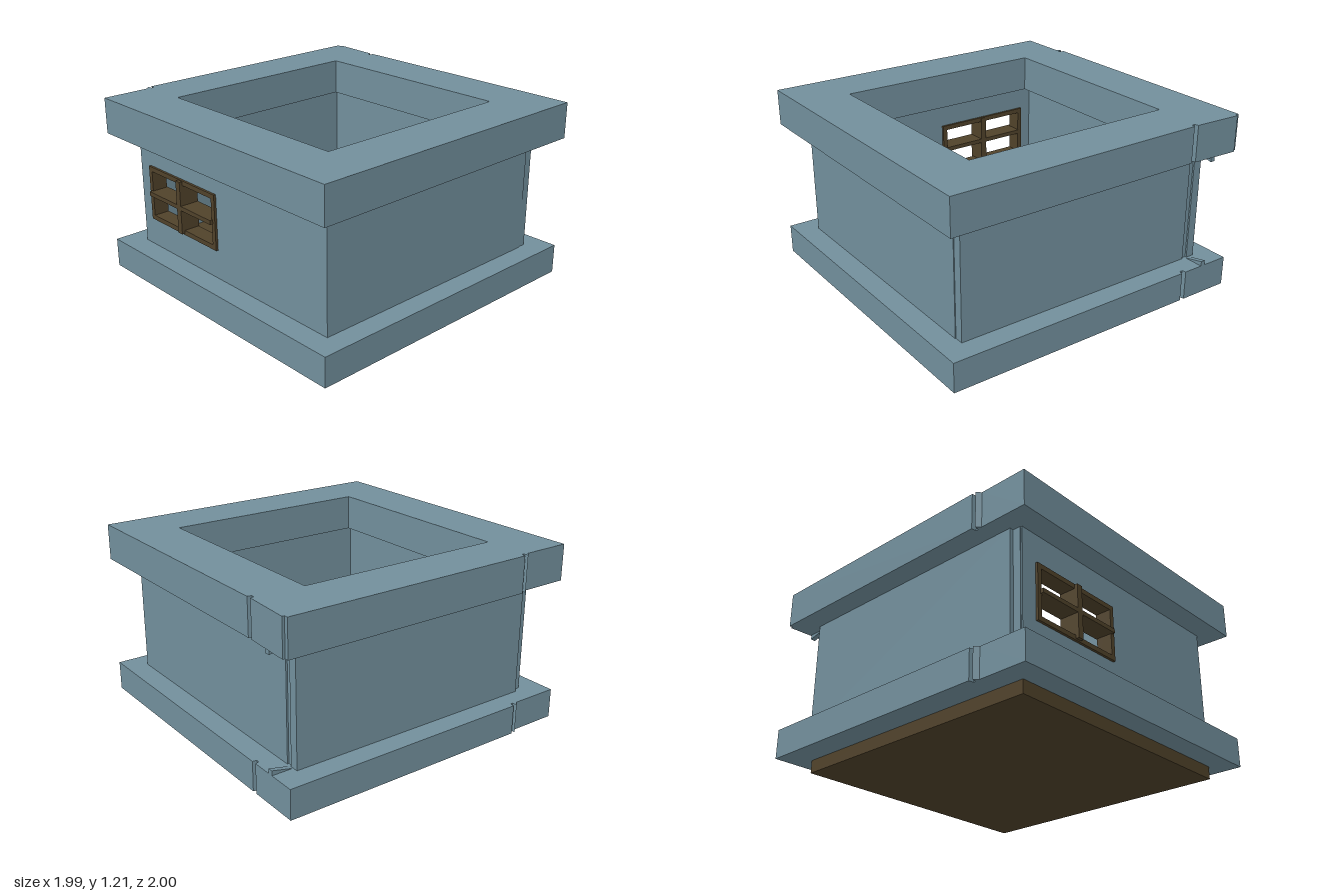
import * as THREE from 'three';

const mat = (color) => new THREE.MeshStandardMaterial({ color, flatShading: true, side: THREE.DoubleSide });

export function createModel() {
  const model = new THREE.Group();
  const blue = mat(0x728f9c), brown = mat(0x50422a), gold = mat(0x57431a);
  const yellow = mat(0xb5a95f), grey = mat(0xcccccc);

  const add = (name, geometry, material, parent = model) => {
    const mesh = new THREE.Mesh(geometry, material);
    mesh.name = name;
    parent.add(mesh);
    return mesh;
  };
  // Box given by its limits on each axis
  const box = (name, material, x0, x1, y0, y1, z0, z1, parent = model) => {
    const mesh = add(name, new THREE.BoxGeometry(x1 - x0, y1 - y0, z1 - z0), material, parent);
    mesh.position.set((x0 + x1) / 2, (y0 + y1) / 2, (z0 + z1) / 2);
    return mesh;
  };
  const points = (list) => list.map(([x, z]) => new THREE.Vector2(x, -z));
  // Plan shape raised from y0 to y1
  const slab = (name, material, shape, y0, y1) => {
    const geo = new THREE.ExtrudeGeometry(shape, { depth: y1 - y0, bevelEnabled: false, curveSegments: 16 });
    geo.rotateX(-Math.PI / 2);
    geo.translate(0, y0, 0);
    return add(name, geo, material);
  };

  // Foundation and floor
  box('foundation', brown, -0.86, 0.84, 0, 0.25, -0.835, 0.865);
  box('floor', brown, -0.8, 0.8, 0.2, 0.27, -0.82, 0.8);

  // Heavy square rims with narrow joints near the back corners
  const rim = (name, y0, y1, flare) => {
    const shape = new THREE.Shape(points([
      [-1, 1], [0.975, 1], [0.975, -0.64], [0.95, -0.645], [0.95, -0.665], [0.975, -0.67],
      [0.975 + flare, -0.975], [0.975, -0.975], [0.975, -1], [-0.645, -1], [-0.65, -0.97], [-0.665, -0.97],
      [-0.67, -1], [-0.695, -0.975], [-1, -0.975],
    ]));
    shape.holes.push(new THREE.Path(points([[-0.67, 0.67], [-0.67, -0.68], [0.65, -0.68], [0.65, 0.67]])));
    slab(name, blue, shape, y0, y1);
  };
  rim('lowerRim', 0.08, 0.265, 0);
  rim('upperRim', 0.98, 1.205, 0.015);

  // Walls
  box('frontWall', blue, -0.86, 0.785, 0.265, 0.98, 0.8, 0.865);
  box('backWall', blue, -0.8, 0.84, 0.265, 0.98, -0.865, -0.81);
  box('rightWall', blue, 0.785, 0.84, 0.265, 0.98, -0.775, 0.86);
  box('backLeftPost', blue, 0.785, 0.83, 0.265, 0.98, -0.81, -0.775);
  box('backRightPost', blue, -0.85, -0.8, 0.265, 0.98, -0.84, -0.79);

  // Side wall with its window opening
  const win = { z0: -0.73, z1: -0.07, y0: 0.45, y1: 0.8 };
  const wx0 = -0.86, wx1 = -0.79;
  box('sideWallBelow', blue, wx0, wx1, 0.265, win.y0, -0.835, 0.8);
  box('sideWallAbove', blue, wx0, wx1, win.y1, 0.98, -0.835, 0.8);
  box('sideWallBack', blue, wx0, wx1, win.y0, win.y1, -0.835, win.z0);
  box('sideWallFront', blue, wx0, wx1, win.y0, win.y1, win.z1, 0.8);

  // Window: outer frame, mullion and a deep crossbar
  const frame = new THREE.Group();
  frame.name = 'window';
  model.add(frame);
  const t = 0.03, zm = (win.z0 + win.z1) / 2;
  for (const y of [win.y0, win.y1 - t]) box('windowRail', brown, -0.875, -0.775, y, y + t, win.z0, win.z1, frame);
  for (const z of [win.z0, win.z1 - t]) box('windowStile', brown, -0.875, -0.775, win.y0, win.y1, z, z + t, frame);
  box('windowMullion', brown, -0.895, -0.77, win.y0 + 0.01, win.y1 - 0.005, zm - 0.02, zm + 0.02, frame);
  box('windowCrossbar', brown, -0.895, -0.77, 0.615, 0.642, win.z0 + 0.02, win.z1 - 0.02, frame);

  // Small wedges where the rims meet the back left corner
  for (const [y, tip] of [[0.98, 0.95], [0.265, 0.295]]) {
    const shape = new THREE.Shape([[0.84, y], [0.975, tip], [0.975, y]].map((p) => new THREE.Vector2(...p)));
    const geo = new THREE.ExtrudeGeometry(shape, { depth: 0.03, bevelEnabled: false });
    add('cornerWedge', geo, blue).position.z = -0.83;
  }

  // Rounded rug with a coloured border
  const oval = (Kind, x0, x1, z0, z1, rx) => {
    const rz = (z1 - z0) / 2, zc = -(z0 + z1) / 2;
    const path = new Kind();
    path.moveTo(x0 + rx, zc - rz);
    path.lineTo(x1 - rx, zc - rz);
    path.absellipse(x1 - rx, zc, rx, rz, -Math.PI / 2, Math.PI / 2, false);
    path.lineTo(x0 + rx, zc + rz);
    path.absellipse(x0 + rx, zc, rx, rz, Math.PI / 2, Math.PI * 1.5, false);
    return path;
  };
  const inner = [-0.42, 0.485, -0.53, -0.155, 0.21];
  const border = oval(THREE.Shape, -0.5, 0.565, -0.62, -0.07, 0.29);
  border.holes.push(oval(THREE.Path, ...inner));
  slab('rugBorder', yellow, border, 0.27, 0.285);
  slab('rugCentre', blue, oval(THREE.Shape, ...inner), 0.27, 0.282);

  // Bed
  box('mattress', grey, -0.63, 0.14, 0.29, 0.4, 0.25, 0.7);
  box('headboard', brown, -0.67, -0.63, 0.27, 0.47, 0.25, 0.7);
  box('footboard', brown, 0.135, 0.145, 0.27, 0.395, 0.25, 0.7);
  box('skirting', grey, 0.145, 0.65, 0.27, 0.29, 0.655, 0.7);

  // Nightstand with a small trinket on top
  box('nightstand', gold, -0.67, -0.515, 0.27, 0.42, 0.08, 0.25);
  const trinket = box('trinket', grey, -0.615, -0.59, 0.42, 0.435, 0.14, 0.19);
  trinket.rotation.y = -0.5;

  // Low chest with a raised back board
  box('chest', brown, 0.46, 0.63, 0.27, 0.41, 0.24, 0.65);
  box('chestFront', brown, 0.46, 0.63, 0.27, 0.4, 0.228, 0.24);
  box('chestBackBoard', brown, 0.46, 0.63, 0.27, 0.56, 0.65, 0.665);

  return model;
}
